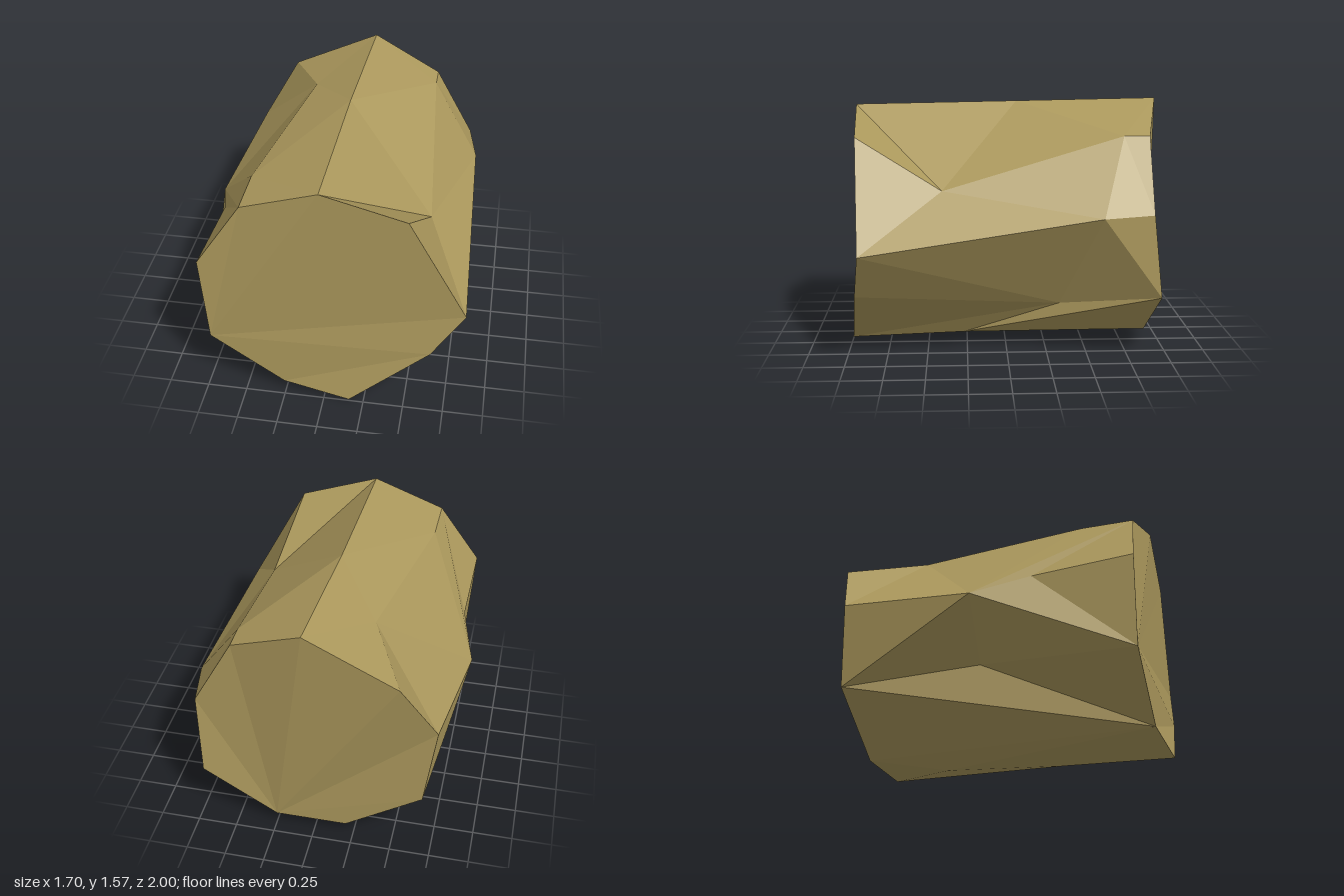
import * as THREE from 'three';

// Front rim, clockwise from the top as seen from the front
const frontRim = [
  [-0.02, 1.53, 0.96], [0.49, 1.37, 0.93], [0.85, 0.70, 0.90],
  [0.65, 0.41, 0.94], [0.16, 0.01, 1.00], [-0.26, 0.07, 0.96],
  [-0.72, 0.39, 0.96], [-0.76, 0.97, 0.97], [-0.49, 1.37, 0.93],
];

// Back rim, in the same order
const backRim = [
  [0.04, 1.57, -0.98], [0.49, 1.37, -0.88], [0.74, 0.92, -0.88],
  [0.71, 0.40, -0.94], [0.25, 0.07, -0.91], [-0.20, 0.07, -0.91],
  [-0.68, 0.39, -0.91], [-0.75, 0.92, -0.89], [-0.53, 1.30, -1.00],
];

// Dents and bumps along the trunk
const knots = {
  top: [0, 1.55, -0.08],
  dent: [0.58, 1.05, 0.40],
  shoulder: [0.49, 1.37, -0.72],
  bulge: [0.80, 0.91, -0.57],
  notch: [0.48, 0.315, -0.33],
  keel: [0.27, 0.07, 0.27],
  foot: [-0.06, 0, -0.42],
  hollow: [-0.51, 0.50, -0.06],
  crease: [-0.75, 0.93, 0.34],
  elbow: [-0.85, 0.82, -0.02],
  ridge: [-0.49, 1.37, 0.60],
  saddle: [-0.30, 1.40, -0.52],
};

// Each fan is a hub followed by its neighbours, counter-clockwise from outside
const barkFans = [
  'dent F0 F1 F2 bulge shoulder top F0',
  'shoulder bulge B2 B1 B0 top',
  'notch F2 F3 F4 keel B3 bulge F2',
  'B2 bulge B3',
  'keel F4 F5 foot B4 B3',
  'B5 B4 foot F5 B6',
  'hollow F5 F6 elbow B6 F5',
  'crease F6 F7 F8 elbow F6',
  'elbow F8 ridge saddle B7 B6',
  'saddle ridge top B0 B8 B7',
  'F0 top ridge F8',
];
const frontFans = ['F6 F5 F3 F2 F1 F0 F8 F7', 'F5 F4 F3'];
const backFans = ['B4 B5 B6 B7 B8 B0 B1 B2 B3'];

function pointOf(name) {
  if (knots[name]) return knots[name];
  return (name[0] === 'F' ? frontRim : backRim)[Number(name[1])];
}

// Facetted surface made of fans
function fanMesh(name, fans, material) {
  const positions = [];
  for (const fan of fans) {
    const [hub, ...ring] = fan.split(' ').map(pointOf);
    for (let i = 0; i + 1 < ring.length; i++) {
      positions.push(...hub, ...ring[i], ...ring[i + 1]);
    }
  }
  const geometry = new THREE.BufferGeometry();
  geometry.setAttribute('position', new THREE.Float32BufferAttribute(positions, 3));
  geometry.computeVertexNormals();
  const mesh = new THREE.Mesh(geometry, material);
  mesh.name = name;
  return mesh;
}

export function createModel() {
  const wood = new THREE.MeshStandardMaterial({ color: 0xab985c });
  wood.name = 'wood';

  const log = new THREE.Group();
  log.name = 'log';
  log.add(
    fanMesh('bark', barkFans, wood),
    fanMesh('frontEnd', frontFans, wood),
    fanMesh('backEnd', backFans, wood),
  );
  return log;
}
